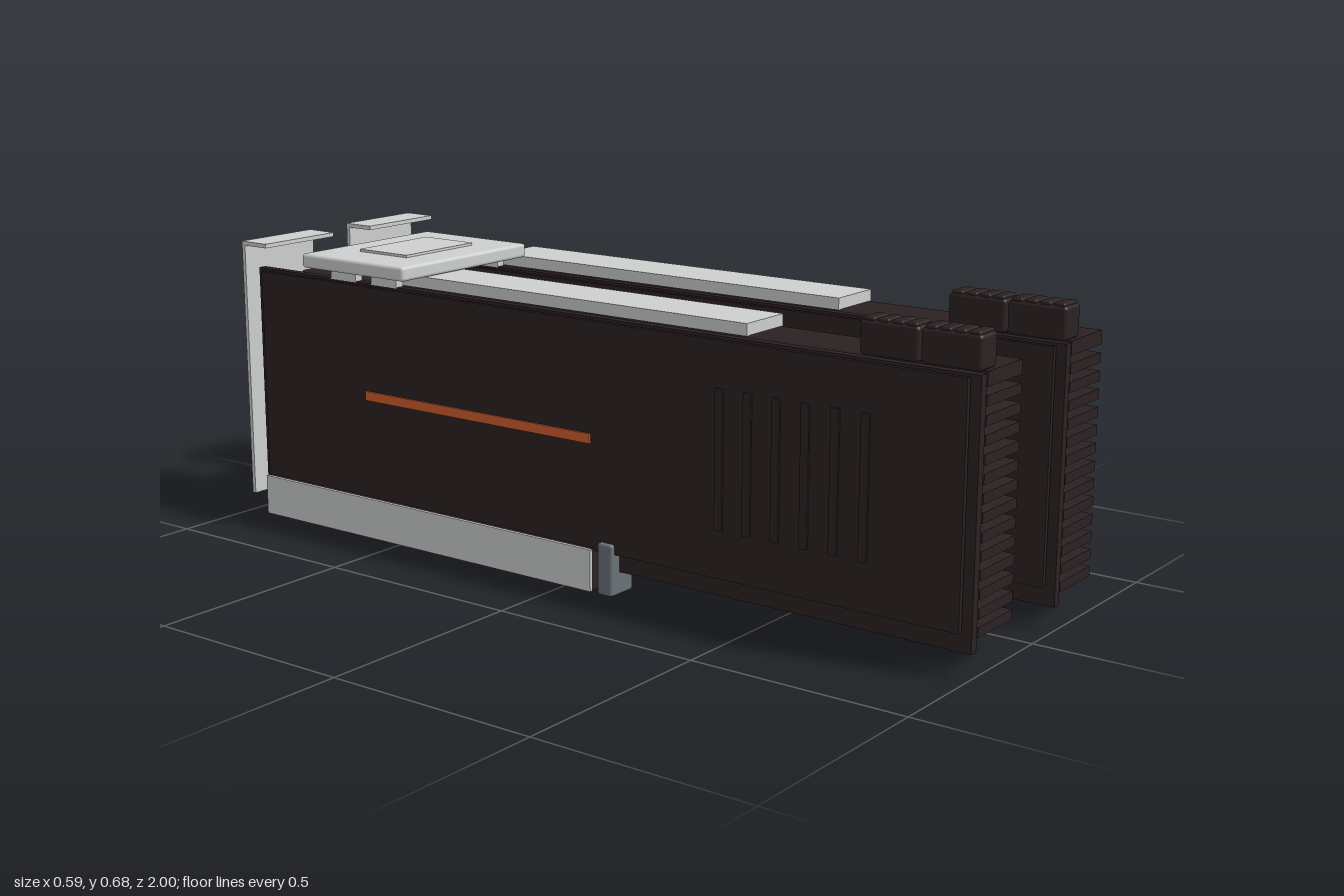
import * as THREE from 'three';
import { RoundedBoxGeometry } from 'three/addons/geometries/RoundedBoxGeometry.js';

const mat = (name, color) => Object.assign(new THREE.MeshStandardMaterial({ color }), { name });

export function createModel() {
  const dark = mat('darkBrown', 0x2c2122);
  const silver = mat('silver', 0xcdd0ce);
  const gold = mat('gold', 0xc49b40);
  const orange = mat('orange', 0xd2602c);
  const slate = mat('slate', 0x687276);

  // Box given by its extents on each axis, optionally with rounded edges
  function box(parent, name, material, [x0, x1], [y0, y1], [z0, z1], radius = 0) {
    const w = x1 - x0, h = y1 - y0, d = z1 - z0;
    const geometry = radius
      ? new RoundedBoxGeometry(w, h, d, 2, radius)
      : new THREE.BoxGeometry(w, h, d);
    const mesh = new THREE.Mesh(geometry, material);
    mesh.name = name;
    mesh.position.set((x0 + x1) / 2, (y0 + y1) / 2, (z0 + z1) / 2);
    parent.add(mesh);
  }

  function createCard(name) {
    const card = new THREE.Group();
    card.name = name;

    // Circuit board and the plate covering its back
    box(card, 'circuitBoard', dark, [-0.262, -0.242], [0.052, 0.61], [-0.965, 1]);
    box(card, 'backplate', dark, [-0.279, -0.268], [0.095, 0.605], [-0.94, 0.98]);
    box(card, 'backplateStripe', orange, [-0.283, -0.279], [0.335, 0.357], [-0.6, 0.07]);
    for (let i = 0; i < 6; i++) {
      const z = 0.41 + i * 0.07;
      box(card, 'backplateRib', dark, [-0.283, -0.279], [0.2, 0.505], [z - 0.01, z + 0.01]);
    }

    // Cooler shroud with coloured stripes on its face
    const shroudX = [-0.208, -0.068];
    box(card, 'shroud', dark, shroudX, [0.065, 0.605], [-0.885, 0.76], 0.012);
    box(card, 'shroudTopPlate', silver, [-0.208, -0.073], [0.604, 0.631], [-0.555, 0.427]);
    [[0.457, gold], [0.333, orange], [0.207, gold]].forEach(([y, m]) =>
      box(card, 'shroudStripe', m, [-0.07, -0.063], [y - 0.012, y + 0.012], [-0.665, 0.322]));
    box(card, 'shortStripe', orange, [-0.07, -0.063], [0.121, 0.142], [-0.78, -0.395]);

    // Stack of cooling fins at the front end
    const pitch = 0.039;
    for (let i = 0; i < 14; i++) {
      const y = 0.068 + i * pitch;
      box(card, 'coolingFin', dark, shroudX, [y, y + 0.022], [0.74, 0.985]);
    }
    box(card, 'topFin', dark, shroudX, [0.593, 0.606], [0.74, 0.985]);

    // Pair of ridged power connectors
    [0.708, 0.846].forEach((z) => {
      box(card, 'powerConnector', dark, [-0.228, -0.163], [0.606, 0.678], [z, z + 0.134], 0.008);
      for (let i = 0; i < 4; i++) {
        const r = z + 0.006 + i * 0.032;
        box(card, 'connectorRidge', dark, [-0.224, -0.167], [0.67, 0.684], [r, r + 0.026], 0.004);
      }
    });

    // Mounting bracket with a bent lip and vent slots
    box(card, 'bracketPlate', silver, [-0.29, -0.063], [0.046, 0.675], [-0.992, -0.982]);
    box(card, 'bracketLip', silver, [-0.29, -0.063], [0.665, 0.675], [-0.992, -0.91]);
    for (let i = 0; i < 8; i++) {
      const y = 0.13 + i * 0.056;
      box(card, 'ventSlot', dark, [-0.202, -0.09], [y, y + 0.03], [-1, -0.991]);
    }

    // Slot socket below the board, with side walls and a latch
    box(card, 'slotCore', dark, [-0.289, -0.215], [0.005, 0.1], [-0.932, 0.08]);
    [-0.295, -0.215].forEach((x) =>
      box(card, 'slotSideWall', silver, [x, x + 0.006], [0.004, 0.1], [-0.935, 0.08]));
    box(card, 'slotLatch', slate, [-0.29, -0.213], [0, 0.118], [0.095, 0.135], 0.006);

    // Bridge contacts on top of the board
    [-0.59, -0.72].forEach((z) =>
      box(card, 'bridgeFoot', silver, [-0.263, -0.241], [0.608, 0.634], [z, z + 0.08]));
    return card;
  }

  const model = new THREE.Group();
  model.name = 'twinExpansionCards';
  const rightCard = createCard('rightCard');
  const leftCard = createCard('leftCard');
  leftCard.position.x = 0.355;
  model.add(rightCard, leftCard);

  // Bridge joining the two cards
  box(model, 'bridge', silver, [-0.294, 0.14], [0.632, 0.666], [-0.785, -0.46], 0.008);
  box(model, 'bridgePanel', silver, [-0.19, 0.04], [0.665, 0.672], [-0.695, -0.545]);
  return model;
}
